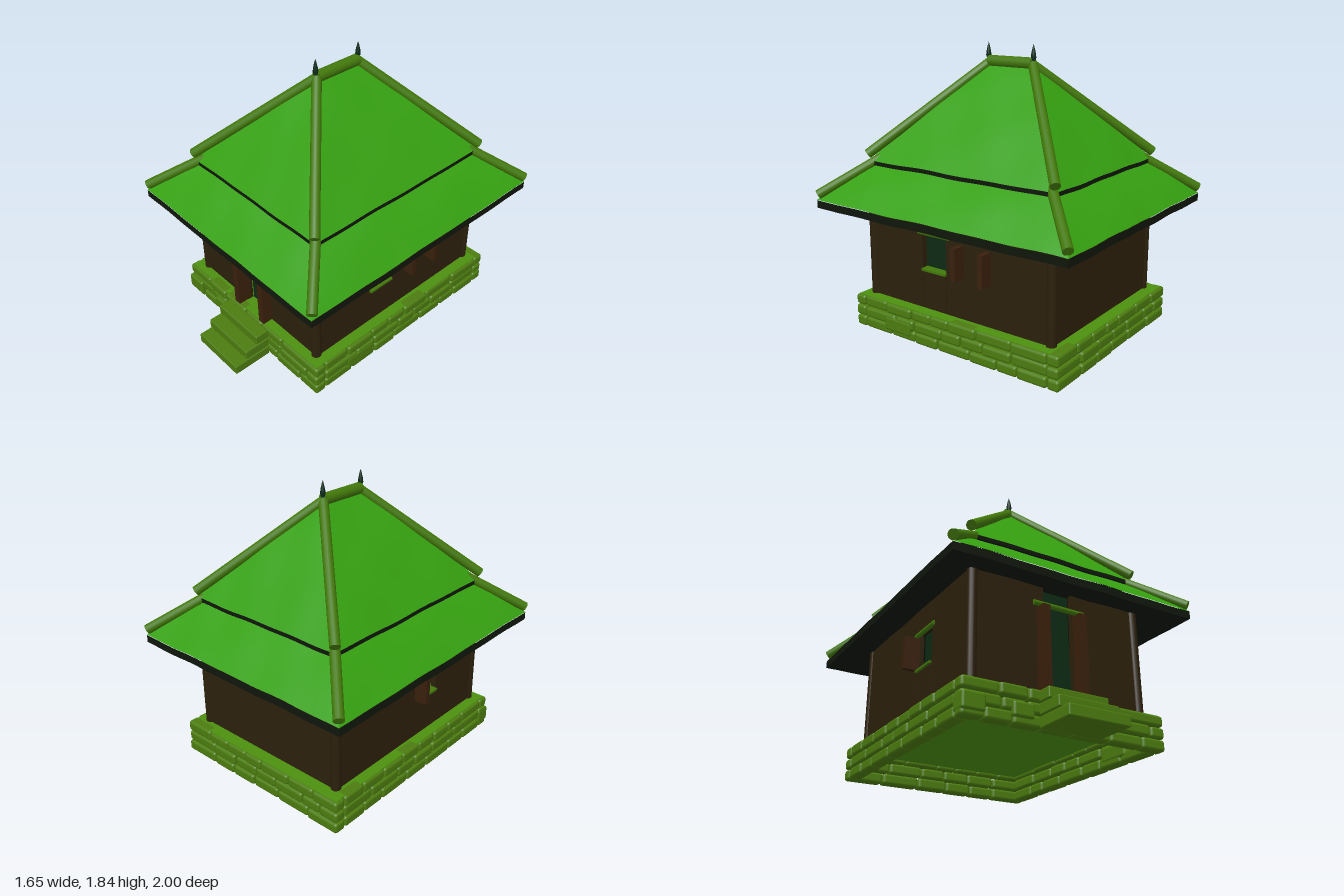
import * as THREE from 'three';
import { RoundedBoxGeometry } from 'three/addons/geometries/RoundedBoxGeometry.js';

const paint = (color) => new THREE.MeshStandardMaterial({ color });
const MAT = {
  stone: paint(0x4c7c10), floor: paint(0x4c9010), wall: paint(0x2c200c), wood: paint(0x0e2a14),
  leaf: paint(0x3a200c), roof: paint(0x35a010), edge: paint(0x10160c), pole: paint(0x42780a), spike: paint(0x0d2a1a),
};

let seed = 7;
function rand() {
  seed = (seed * 16807) % 2147483647;
  return seed / 2147483647;
}

function add(parent, name, geometry, material) {
  const mesh = new THREE.Mesh(geometry, material);
  mesh.name = name;
  parent.add(mesh);
  return mesh;
}

// Box given by its lower and upper limits on each axis
function box(parent, name, mat, [x0, x1], [y0, y1], [z0, z1], round = 0) {
  const size = [x1 - x0, y1 - y0, z1 - z0];
  const geo = round ? new RoundedBoxGeometry(...size, 2, round) : new THREE.BoxGeometry(...size);
  const mesh = add(parent, name, geo, mat);
  mesh.position.set((x0 + x1) / 2, (y0 + y1) / 2, (z0 + z1) / 2);
}

// Round pole between two points
function pole(parent, name, mat, from, to, radius) {
  const a = new THREE.Vector3(...from), b = new THREE.Vector3(...to);
  const dir = b.clone().sub(a);
  const mesh = add(parent, name, new THREE.CylinderGeometry(radius, radius, dir.length(), 16), mat);
  mesh.position.copy(a).add(b).multiplyScalar(0.5);
  mesh.quaternion.setFromUnitVectors(new THREE.Vector3(0, 1, 0), dir.normalize());
}

// Four-sided skin between two rectangles [halfWidth, zFront, zBack, y], gently rippled
function hippedSkin(parent, name, mat, low, high, rows, bulge = 0) {
  const corners = ([x, zf, zb, y]) => [[-x, y, zf], [x, y, zf], [x, y, zb], [-x, y, zb]].map((p) => new THREE.Vector3(...p));
  const lo = corners(low), hi = corners(high), cols = 20;
  const positions = [], indices = [];
  for (let side = 0; side < 4; side++) {
    const base = positions.length / 3, next = (side + 1) % 4;
    for (let r = 0; r <= rows; r++) {
      const a = lo[side].clone().lerp(hi[side], r / rows);
      const b = lo[next].clone().lerp(hi[next], r / rows);
      const lift = bulge * Math.sin((Math.PI * r) / rows);
      for (let c = 0; c <= cols; c++) {
        const p = a.clone().lerp(b, c / cols);
        const ripple = 0.004 * Math.sin(13 * p.x + 3 * p.z) * Math.cos(11 * p.z - 4 * p.x);
        positions.push(p.x, p.y + lift + ripple, p.z);
        if (r < rows && c < cols) {
          const i = base + r * (cols + 1) + c, j = i + cols + 1;
          indices.push(i, i + 1, j + 1, i, j + 1, j);
        }
      }
    }
  }
  const geo = new THREE.BufferGeometry();
  geo.setAttribute('position', new THREE.Float32BufferAttribute(positions, 3));
  geo.setIndex(indices);
  geo.computeVertexNormals();
  add(parent, name, geo, mat);
}

// Row of uneven stones along x or z
function stoneRow(parent, alongX, start, end, across, y) {
  let at = start;
  while (at < end - 0.01) {
    let stop = at + 0.14 + rand() * 0.12;
    if (end - stop < 0.1) stop = end;
    const off = (rand() - 0.5) * 0.01;
    const run = [at + 0.002, stop - 0.002], wide = [across - 0.04 + off, across + 0.04 + off];
    const high = [y, y + 0.065 + rand() * 0.005];
    box(parent, 'baseStone', MAT.stone, alongX ? run : wide, high, alongX ? wide : run, 0.018);
    at = stop;
  }
}

function buildBase() {
  const g = new THREE.Group();
  g.name = 'stoneBase';
  for (let course = 0; course < 3; course++) {
    const y = 0.002 + course * 0.073;
    stoneRow(g, true, -0.66, 0.66, 0.697, y);
    stoneRow(g, true, -0.66, 0.66, -0.797, y);
    stoneRow(g, false, -0.757, 0.657, 0.617, y);
    stoneRow(g, false, -0.757, 0.657, -0.617, y);
  }
  // A few larger blocks
  box(g, 'largeStone', MAT.stone, [-0.66, -0.52], [0.03, 0.13], [0.65, 0.755], 0.015);
  box(g, 'largeStone', MAT.stone, [-0.36, -0.23], [0.04, 0.125], [0.65, 0.755], 0.015);
  box(g, 'largeStone', MAT.stone, [0.57, 0.665], [0.035, 0.125], [0.26, 0.48], 0.015);
  box(g, 'floorSlab', MAT.floor, [-0.64, 0.64], [0.172, 0.217], [-0.82, 0.72]);
  // Three steps up to the door
  [1.0, 0.915, 0.83].forEach((front, i) =>
    box(g, 'step', MAT.stone, [-0.195, 0.195], [0.072 * i, 0.072 * i + 0.066], [0.735, front], 0.008));
  return g;
}

function buildWalls() {
  const g = new THREE.Group();
  g.name = 'walls';
  const tall = [0.222, 0.89];
  box(g, 'backWall', MAT.wall, [-0.56, 0.56], tall, [-0.745, -0.705]);
  for (const s of [-1, 1]) {
    const span = (a, b) => (s > 0 ? [a, b] : [-b, -a]);
    box(g, 'frontWall', MAT.wall, span(0.1, 0.56), tall, [0.62, 0.66]);
    box(g, 'doorLeaf', MAT.leaf, span(0.1, 0.148), [0.226, 0.74], [0.64, 0.73]);
    // Side wall in two lengths with a window bay between
    box(g, 'sideWall', MAT.wall, span(0.535, 0.575), tall, [0.215, 0.64]);
    box(g, 'sideWall', MAT.wall, span(0.535, 0.575), tall, [-0.725, 0.025]);
    box(g, 'windowApron', MAT.wall, span(0.54, 0.575), [0.222, 0.475], [0.03, 0.21]);
    box(g, 'windowHeader', MAT.wall, span(0.54, 0.575), [0.715, 0.89], [0.03, 0.21]);
    box(g, 'windowBoard', MAT.wood, span(0.515, 0.53), [0.475, 0.72], [0.03, 0.21]);
    box(g, 'windowSill', MAT.pole, span(0.525, 0.59), [0.47, 0.484], [0.025, 0.215]);
    pole(g, 'windowLintel', MAT.pole, [s * 0.575, 0.714, 0], [s * 0.575, 0.714, 0.24], 0.015);
    // Open shutters: two on the left side, one on the right
    for (const z of s > 0 ? [-0.095, -0.297] : [0.01]) {
      box(g, 'shutter', MAT.leaf, span(0.565, 0.66), [0.488, 0.692], [z - 0.018, z + 0.018]);
    }
    for (const z of [0.645, -0.725]) {
      pole(g, 'cornerPost', MAT.wall, [s * 0.555, 0.21, z], [s * 0.555, 0.89, z], 0.031);
    }
  }
  box(g, 'door', MAT.wood, [-0.1, 0.1], [0.218, 0.88], [0.595, 0.615]);
  pole(g, 'doorLintel', MAT.pole, [-0.17, 0.768, 0.665], [0.17, 0.768, 0.665], 0.016);
  return g;
}

function buildRoof() {
  const g = new THREE.Group();
  g.name = 'roof';
  // Lower tier: ceiling, sloping soffit, eave edge, slope
  const eave = (y) => [0.805, 0.893, -0.977, y], wallTop = [0.55, 0.638, -0.722, 0.885];
  hippedSkin(g, 'ceiling', MAT.edge, [0, -0.04, -0.04, 0.885], wallTop, 4);
  hippedSkin(g, 'soffit', MAT.edge, wallTop, eave(0.806), 3);
  hippedSkin(g, 'eaveEdge', MAT.edge, eave(0.806), eave(0.855), 1);
  hippedSkin(g, 'lowerRoof', MAT.roof, eave(0.858), [0.52, 0.608, -0.692, 1.105], 8, 0.012);
  // Upper tier: underside, edge, slope to the ridge
  const upper = (y) => [0.568, 0.655, -0.742, y];
  hippedSkin(g, 'upperUnderside', MAT.edge, [0.48, 0.57, -0.65, 1.08], upper(1.08), 1);
  hippedSkin(g, 'upperEdge', MAT.edge, upper(1.08), upper(1.106), 1);
  hippedSkin(g, 'upperRoof', MAT.roof, upper(1.106), [0, 0.12, -0.205, 1.71], 16, 0.016);

  // Hip poles, ridge pole and finials
  for (const [top, mid, low, neck] of [[0.125, 0.66, 0.885, 0.59], [-0.205, -0.745, -0.972, -0.675]]) {
    for (const s of [-1, 1]) {
      pole(g, 'upperHipPole', MAT.pole, [s * 0.573, 1.147, mid], [0, 1.71, top], 0.031);
      pole(g, 'lowerHipPole', MAT.pole, [s * 0.8, 0.895, low], [s * 0.505, 1.13, neck], 0.031);
    }
    const profile = [[0, 0], [0.012, 0], [0.009, 0.045], [0.017, 0.075], [0.014, 0.1], [0.005, 0.14], [0, 0.155]];
    const finial = add(g, 'finial', new THREE.LatheGeometry(profile.map((p) => new THREE.Vector2(...p)), 12), MAT.spike);
    finial.position.set(0, 1.68, top > 0 ? 0.133 : -0.208);
  }
  pole(g, 'ridgePole', MAT.pole, [0, 1.717, 0.125], [0, 1.717, -0.205], 0.037);
  return g;
}

export function createModel() {
  seed = 7;
  const model = new THREE.Group();
  model.name = 'thatchedHouse';
  model.add(buildBase(), buildWalls(), buildRoof());
  return model;
}
